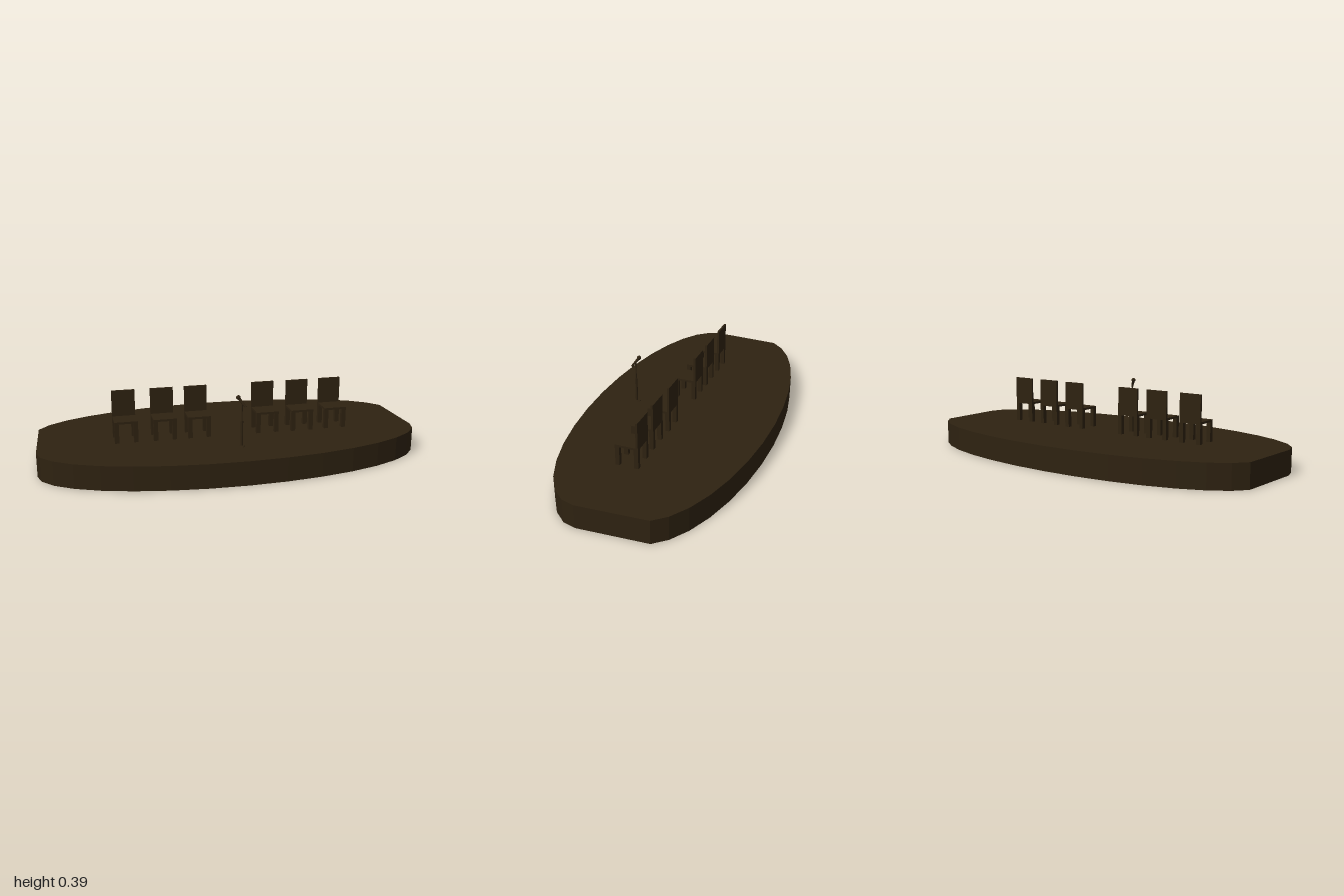
import * as THREE from 'three';

const FLOOR = 0.126;

export function createModel() {
  const model = new THREE.Group();
  model.name = 'stage';
  const wood = new THREE.MeshStandardMaterial({ color: 0x2e2211 });
  wood.name = 'dark brown';

  const add = (parent, name, geometry, x = 0, y = 0, z = 0) => {
    const mesh = new THREE.Mesh(geometry, wood);
    mesh.name = name;
    mesh.position.set(x, y, z);
    parent.add(mesh);
    return mesh;
  };
  const box = (parent, name, w, h, d, x, y, z) =>
    add(parent, name, new THREE.BoxGeometry(w, h, d), x, y, z);

  // Platform: two flattened arcs joined by nearly straight ends
  const outline = [];
  for (let i = 0; i <= 16; i++) {
    const a = (i / 16) * Math.PI;
    outline.push(new THREE.Vector2(Math.cos(a), -0.147 - 0.35 * Math.sin(a)));
  }
  for (let i = 15; i >= 1; i--) {
    const a = (i / 16) * Math.PI;
    outline.push(new THREE.Vector2(Math.cos(a), 0.147 + 0.35 * Math.sin(a)));
  }
  const platform = new THREE.ExtrudeGeometry(new THREE.Shape(outline), { depth: FLOOR, bevelEnabled: false });
  platform.rotateX(-Math.PI / 2);
  add(model, 'platform', platform);

  // Chairs: [centre x, z of the back face]
  const chairs = [
    [-0.545, -0.019], [-0.345, -0.017], [-0.165, -0.016],
    [0.2, -0.012], [0.39, -0.006], [0.575, -0.007],
  ];
  for (const [x, z] of chairs) {
    const chair = new THREE.Group();
    chair.name = 'chair';
    chair.position.set(x, FLOOR, z);
    box(chair, 'seat', 0.12, 0.011, 0.12, 0, 0.107, 0.06);
    box(chair, 'backrest', 0.12, 0.142, 0.011, 0, 0.178, 0.0055);
    for (const sx of [-1, 1]) {
      for (const lz of [0.011, 0.109]) {
        box(chair, 'leg', 0.022, 0.103, 0.022, sx * 0.049, 0.0515, lz);
      }
    }
    model.add(chair);
  }

  // Microphone on its stand
  const stand = new THREE.Group();
  stand.name = 'microphoneStand';
  stand.position.set(0.015, FLOOR, 0.28);
  const base = add(stand, 'standBase', new THREE.CylinderGeometry(0.02, 0.023, 0.004, 16), 0, 0.002, 0);
  base.scale.x = 0.55;
  add(stand, 'lowerPole', new THREE.CylinderGeometry(0.0065, 0.0065, 0.135, 12), 0, 0.0675, 0);
  add(stand, 'upperPole', new THREE.CylinderGeometry(0.0035, 0.0035, 0.1, 12), 0, 0.182, 0);

  const tail = new THREE.Vector3(0.014, 0.21, 0.017);
  const head = new THREE.Vector3(-0.016, 0.253, -0.013);
  const axis = head.clone().sub(tail);
  const mid = head.clone().add(tail).multiplyScalar(0.5);
  const handle = add(stand, 'microphoneHandle',
    new THREE.CylinderGeometry(0.008, 0.0055, axis.length(), 12), mid.x, mid.y, mid.z);
  handle.quaternion.setFromUnitVectors(new THREE.Vector3(0, 1, 0), axis.clone().normalize());
  add(stand, 'microphoneHead', new THREE.SphereGeometry(0.0115, 14, 10), head.x, head.y, head.z);
  model.add(stand);

  return model;
}
